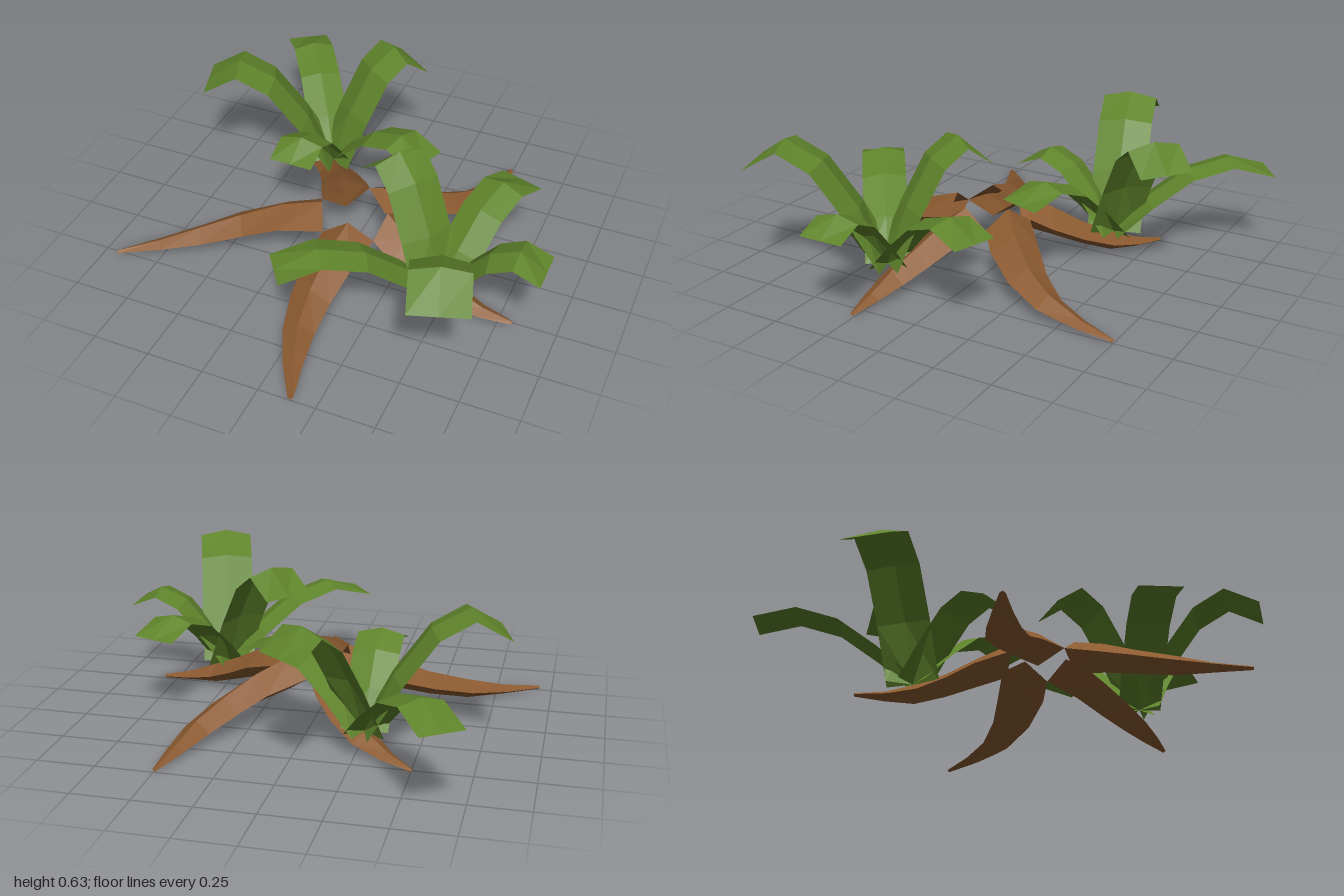
import * as THREE from 'three';

const bark = new THREE.MeshStandardMaterial({ color: 0x8b5a30, flatShading: true, side: THREE.DoubleSide });
const leafGreen = new THREE.MeshStandardMaterial({ color: 0x5f842b, flatShading: true, side: THREE.DoubleSide });

// Skin a list of equal-length cross-sections; wrap joins each section's ends.
function loft(rings, wrap) {
  const n = rings[0].length, pos = [], index = [];
  rings.forEach(r => r.forEach(p => pos.push(p.x, p.y, p.z)));
  for (let i = 0; i < rings.length - 1; i++) {
    for (let k = 0; k < (wrap ? n : n - 1); k++) {
      const a = i * n + k, b = i * n + (k + 1) % n;
      index.push(a, a + n, b + n, a, b + n, b);
    }
  }
  const g = new THREE.BufferGeometry();
  g.setAttribute('position', new THREE.Float32BufferAttribute(pos, 3));
  g.setIndex(index);
  const flat = g.toNonIndexed();
  flat.computeVertexNormals();
  return flat;
}

// Tapering diamond-section root, open where it leaves the hub.
const UP = new THREE.Vector3(0, 1, 0);
const hub = [0.035, 0.075];
const rootMid = [0.21, 0.162, 0.104, 0.056, 0.028, 0.012];
const rootHalfHeight = [0.075, 0.066, 0.053, 0.044, 0.022, 0.008];
const rootHalfWidth = [0.113, 0.104, 0.088, 0.067, 0.04, 0.011];
function makeRoot(angle, points) {
  const outward = new THREE.Vector3(Math.cos(angle), 0, Math.sin(angle));
  const start = outward.clone().multiplyScalar(0.155).add(new THREE.Vector3(hub[0], 0, hub[1]));
  const path = new THREE.CatmullRomCurve3([start, ...points.map(([x, z]) => new THREE.Vector3(x, 0, z))]);
  const rings = rootMid.map((y, i) => {
    const t = i / (rootMid.length - 1);
    const centre = path.getPointAt(t).setY(y);
    const side = UP.clone().cross(i ? path.getTangentAt(t) : outward);
    return [[0, 1], [1, 0], [0, -1], [-1, 0]].map(([s, u]) => centre.clone()
      .addScaledVector(side, s * rootHalfWidth[i])
      .addScaledVector(UP, u * rootHalfHeight[i]));
  });
  return new THREE.Mesh(loft(rings, true), bark);
}

// Arching leaf strip along +x, creased down its midline, flat at base and tip.
const archX = [0, 0.2, 0.46, 0.74, 1];
const archY = [0, 0.46, 0.84, 1, 0.79];
const fold = [0, 0.025, 0.025, 0.025, 0];
function makeLeaf(length, rise, width) {
  const spine = archX.map((t, i) => new THREE.Vector2(t * length, archY[i] * rise));
  const rings = spine.map((p, i) => {
    const t = spine[Math.min(i + 1, 4)].clone().sub(spine[Math.max(i - 1, 0)]).normalize();
    return [-1, 0, 1].map(s => new THREE.Vector3(
      p.x + Math.abs(s) * t.y * fold[i],
      p.y - Math.abs(s) * t.x * fold[i],
      s * width / 2));
  });
  return new THREE.Mesh(loft(rings, false), leafGreen);
}

// Five leaves spread evenly round the stem: [length, rise, width]
const leaves = [
  [0.44, 0.34, 0.2],
  [0.575, 0.525, 0.24],
  [0.69, 0.34, 0.19],
  [0.442, 0.525, 0.24],
  [0.565, 0.34, 0.2],
];
function makeFern() {
  const fern = new THREE.Group();
  leaves.forEach((spec, i) => {
    const leaf = makeLeaf(...spec);
    leaf.name = 'leaf' + (i + 1);
    leaf.rotation.y = -i * Math.PI * 0.4;
    fern.add(leaf);
  });
  return fern;
}

export function createModel() {
  const model = new THREE.Group();
  model.name = 'fernsAndRoots';

  // Roots leave the sides of a pentagon, all curling the same way
  const roots = new THREE.Group();
  roots.name = 'roots';
  [
    [[0.02, 0.48], [0.04, 0.72], [0.14, 0.995]],
    [[-0.36, 0.18], [-0.62, 0.31], [-0.94, 0.515]],
    [[-0.17, -0.22], [-0.3, -0.38], [-0.5, -0.515]],
    [[0.29, -0.22], [0.42, -0.42], [0.495, -0.745]],
    [[0.37, 0.19], [0.57, 0.25], [0.81, 0.26]],
  ].forEach((points, i) => {
    const root = makeRoot(THREE.MathUtils.degToRad(83 + i * 72), points);
    root.name = 'root' + (i + 1);
    roots.add(root);
  });
  model.add(roots);

  // Two identical ferns, one turned about a quarter
  const leftFern = makeFern();
  leftFern.name = 'leftFern';
  leftFern.position.set(0.5, 0.105, 0.3);
  const rightFern = makeFern();
  rightFern.name = 'rightFern';
  rightFern.position.set(-0.283, 0.105, -0.38);
  rightFern.rotation.y = THREE.MathUtils.degToRad(-91.4);
  model.add(leftFern, rightFern);
  return model;
}
